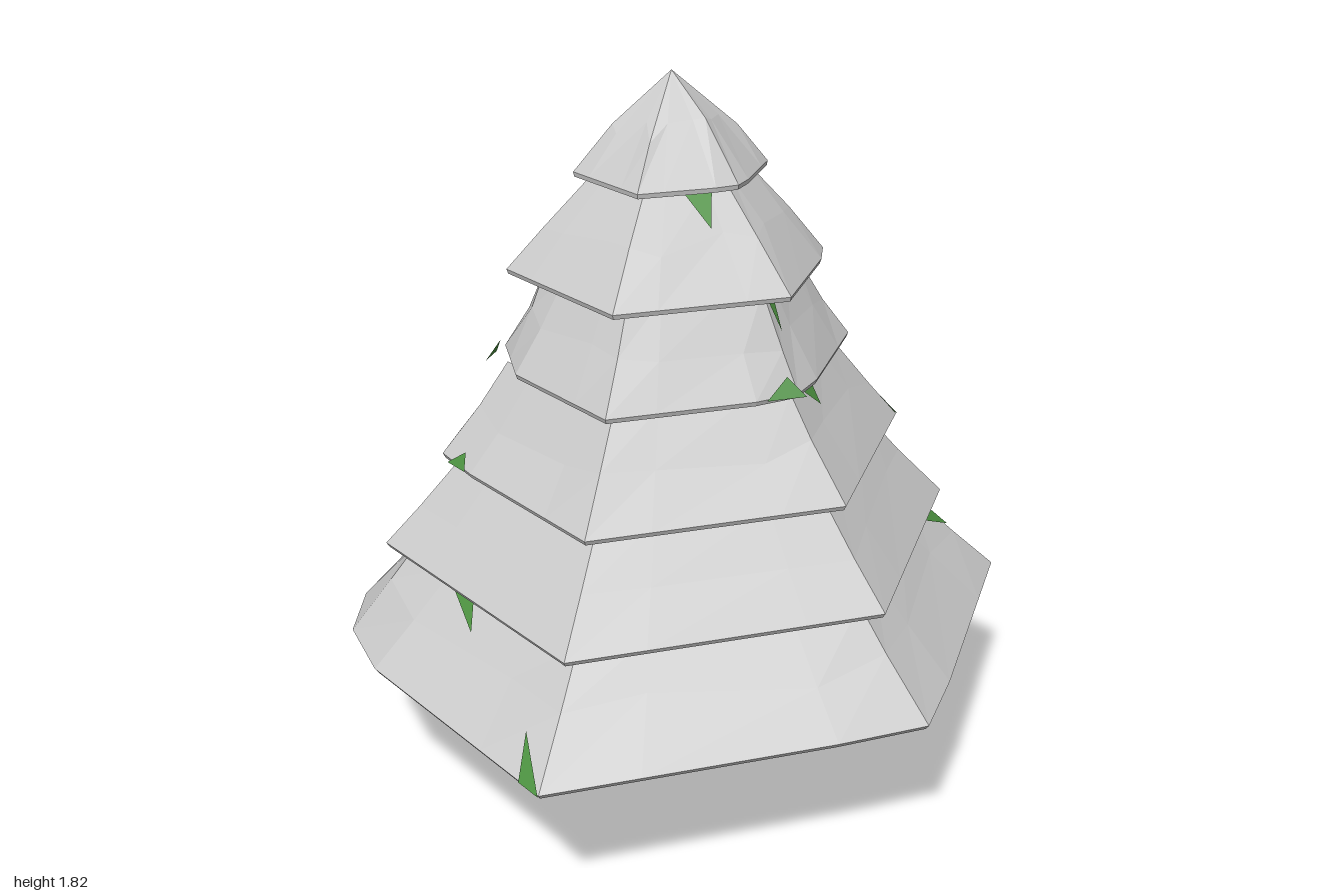
import * as THREE from 'three';

const grey = new THREE.MeshStandardMaterial({ color: 0xcccccc, flatShading: true });
const green = new THREE.MeshStandardMaterial({ color: 0x4c9140, flatShading: true });
const greenThin = new THREE.MeshStandardMaterial({ color: 0x4c9140, flatShading: true, side: THREE.DoubleSide });

// Six-sided plan, slightly narrow in x; corner 0 points to the front, then round towards +x
const CX = [0, 0.79, 0.79, 0, -0.79, -0.79];
const CZ = [1, 0.455, -0.455, -1, -0.455, 0.455];
function plan(u, r, y) {
  const w = ((u % 6) + 6) % 6, k = Math.floor(w), f = w - k, n = (k + 1) % 6;
  return new THREE.Vector3(
    r * THREE.MathUtils.lerp(CX[k], CX[n], f), y, r * THREE.MathUtils.lerp(CZ[k], CZ[n], f));
}

// Tiers: rim height, top height, rim radius, top radius, outward bulge
const TIERS = [
  [0.38, 0.625, 1.0, 0.73, 0],
  [0.62, 0.86, 0.82, 0.59, 0],
  [0.855, 1.1, 0.67, 0.46, 0],
  [1.095, 1.335, 0.515, 0.35, 0],
  [1.33, 1.57, 0.455, 0.215, 0.01],
  [1.565, 1.815, 0.268, 0, 0.025],
];
const LIP = 0.012;

// Worn corners: 'tier,corner' -> remaining share of the radius
const CHIPS = { '0,5': 0.93, '0,1': 0.985, '3,5': 0.88, '3,1': 0.95, '4,2': 0.95, '5,1': 0.96, '2,5': 0.97 };

// Green flecks on the tier sides: tier, then three (u, v) points
const FLECKS = [
  [0, 5.89, 0.32, 5.92, 0, 6, 0],
  [0, 5.18, 1, 5.51, 0.66, 5.39, 1],
  [0, 1.77, 1, 2, 0.58, 2, 1],
  [0, 2, 0.58, 2.14, 1, 2, 1],
  [1, 3.38, 1, 3.48, 0.65, 3.58, 1],
  [2, 1.12, 1, 1.3, 0.72, 1.36, 1],
  [2, 2, 0, 2.15, 0, 2.03, 0.28],
  [2, 5.1, 0, 5.22, 0, 5.16, 0.15],
  [3, 1, 1, 1.03, 0.6, 1.18, 1],
  [3, 1.8, 1, 2, 0.75, 2, 1],
  [3, 0.8, 0, 1, 0, 0.94, 0.2],
  [3, 4.85, 0, 5, 0, 4.95, 0.2],
  [4, 0.43, 1, 0.65, 0.65, 0.8, 1],
];

let seed = 7;
const rand = () => (seed = (seed * 16807) % 2147483647) / 2147483647;

function tierPoint([y0, y1, r0, r1, bulge], u, v, scale = 1, out = 0) {
  const r = THREE.MathUtils.lerp(r0, r1, v) + bulge * Math.sin(Math.PI * v);
  return plan(u, r * scale + out, THREE.MathUtils.lerp(y0 + LIP, y1, v));
}

function meshFrom(name, points, material) {
  const geometry = new THREE.BufferGeometry().setFromPoints(points);
  geometry.computeVertexNormals();
  const mesh = new THREE.Mesh(geometry, material);
  mesh.name = name;
  return mesh;
}

// Joins closed rings, listed bottom to top, with outward-facing triangles
function skin(rings) {
  const out = [];
  for (let j = 0; j < rings.length - 1; j++) {
    const a = rings[j], b = rings[j + 1];
    for (let i = 0; i < a.length; i++) {
      const n = (i + 1) % a.length;
      out.push(a[i], a[n], b[n], a[i], b[n], b[i]);
    }
  }
  return out;
}

// Downward-facing cap of a ring
function underside(ring) {
  const c = new THREE.Vector3(0, ring[0].y, 0);
  return ring.flatMap((p, i) => [c, ring[(i + 1) % ring.length], p]);
}

// Corner and two side stations for each of the six sides
const STATIONS = [];
for (let k = 0; k < 6; k++) STATIONS.push(k, k + 0.25, k + 0.75);

function makeTier(tier, index) {
  const group = new THREE.Group();
  group.name = `foliageTier${index + 1}`;
  const chip = (u) => CHIPS[`${index},${u}`] ?? 1;
  const rim = STATIONS.map((u) => tierPoint(tier, u, 0, chip(u)));
  const base = rim.map((p) => new THREE.Vector3(p.x * 0.99, tier[0], p.z * 0.99));
  const middle = STATIONS.map((u) =>
    tierPoint(tier, u, 0.4 + 0.2 * rand(), 0.5 + 0.5 * chip(u), -0.01 * rand()));
  const top = STATIONS.map((u) => tierPoint(tier, u, 1));
  group.add(
    meshFrom('foliageSides', skin([base, rim, middle, top]), grey),
    meshFrom('foliageUnderside', underside(base), green));

  const flecks = FLECKS.filter((f) => f[0] === index).flatMap((f) =>
    [1, 3, 5].map((i) => tierPoint(tier, f[i], f[i + 1], 1, 0.005)));
  if (flecks.length) group.add(meshFrom('greenFlecks', flecks, greenThin));
  return group;
}

// Tapered six-sided trunk with a small bevel at the foot
function makeTrunk() {
  const rings = [[0, 0.215], [0.015, 0.233], [0.2, 0.2], [0.3, 0.175], [0.385, 0.158]]
    .map(([y, r], j) => [0, 1, 2, 3, 4, 5].map((k) =>
      plan(k, r * (j > 1 ? 0.97 + 0.06 * rand() : 1), y)));
  return meshFrom('trunk', [...skin(rings), ...underside(rings[0])], grey);
}

export function createModel() {
  const tree = new THREE.Group();
  tree.name = 'pineTree';
  tree.add(makeTrunk());
  TIERS.forEach((tier, i) => tree.add(makeTier(tier, i)));
  return tree;
}
